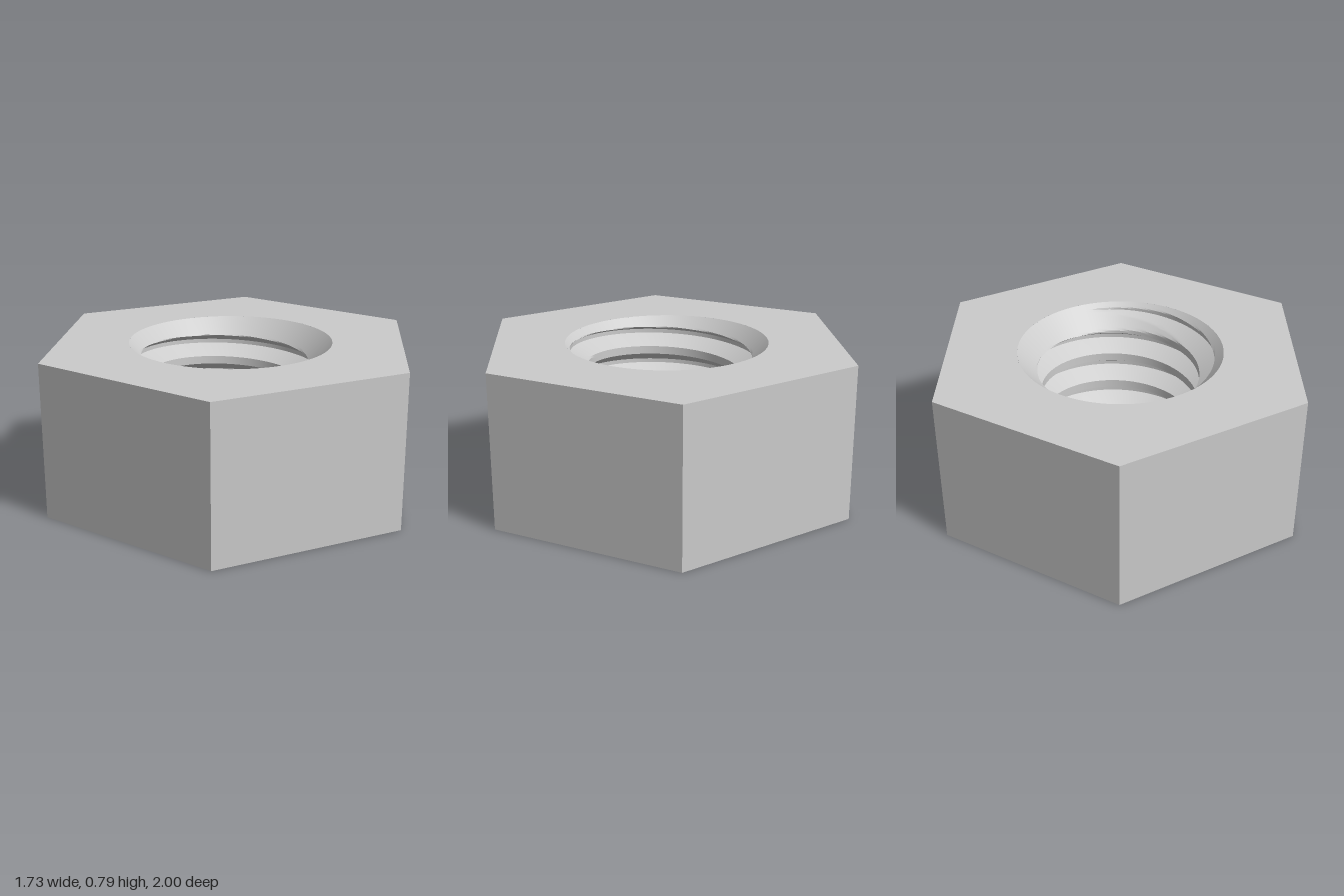
import * as THREE from 'three';
import { toCreasedNormals } from 'three/addons/utils/BufferGeometryUtils.js';

const HEIGHT = 0.79;
const CREST = 0.4, ROOT = 0.49, MOUTH = 0.515; // bore radii
const PITCH = 0.17;
const SEGMENTS = 96;
const PHASE = 0.715 - PITCH / 4; // height of a crest's lower edge at angle 0

// One pitch of thread profile: [fraction of pitch, radius, subdivisions to the next point]
const PROFILE = [[0, CREST, 6], [0.25, CREST, 10], [0.5625, ROOT, 4], [0.6875, ROOT, 10], [1, CREST, 0]];

// Helical rows clamped to the nut's height; 45 degree countersinks cut both ends
function threadedBore() {
  const steps = [];
  for (let p = 0; p < PROFILE.length - 1; p++) {
    const [u0, r0, n] = PROFILE[p], [u1, r1] = PROFILE[p + 1];
    for (let s = 0; s < n; s++) {
      steps.push([u0 + (u1 - u0) * s / n, r0 + (r1 - r0) * s / n]);
    }
  }
  const rows = [];
  for (let k = -6; k <= 1; k++) {
    for (const [u, r] of steps) rows.push([PHASE + PITCH * (k + u), r]);
  }

  const positions = [], index = [], width = SEGMENTS + 1;
  for (const [base, thread] of rows) {
    for (let i = 0; i <= SEGMENTS; i++) {
      const t = i / SEGMENTS, angle = t * Math.PI * 2;
      const y = THREE.MathUtils.clamp(base + PITCH * t, 0, HEIGHT);
      const r = Math.max(thread, MOUTH - y, MOUTH - (HEIGHT - y));
      positions.push(r * Math.cos(angle), y, -r * Math.sin(angle));
    }
  }
  const yOf = (v) => positions[v * 3 + 1];
  for (let j = 0; j < rows.length - 1; j++) {
    for (let i = 0; i < SEGMENTS; i++) {
      const a = j * width + i, b = a + 1, c = a + width, d = c + 1;
      if (yOf(a) !== yOf(c)) index.push(a, c, d);
      if (yOf(b) !== yOf(d)) index.push(a, d, b);
    }
  }
  const geometry = new THREE.BufferGeometry();
  geometry.setAttribute('position', new THREE.Float32BufferAttribute(positions, 3));
  geometry.setIndex(index);
  return toCreasedNormals(geometry, Math.PI / 7);
}

// Hexagon with a round hole, lying flat and facing up
function hexFace() {
  const corners = [];
  for (let i = 0; i < 6; i++) {
    const a = Math.PI / 2 + i * Math.PI / 3;
    corners.push(new THREE.Vector2(Math.cos(a), Math.sin(a)));
  }
  const shape = new THREE.Shape(corners);
  shape.holes.push(new THREE.Path().absarc(0, 0, MOUTH, 0, Math.PI * 2, true));
  return new THREE.ShapeGeometry(shape, SEGMENTS).rotateX(-Math.PI / 2);
}

export function createModel() {
  const group = new THREE.Group();
  group.name = 'hexNut';
  const smooth = new THREE.MeshStandardMaterial({ color: 0xcccccc });
  const flat = new THREE.MeshStandardMaterial({ color: 0xcccccc, flatShading: true });
  const add = (name, geometry, material) => {
    const mesh = new THREE.Mesh(geometry, material);
    mesh.name = name;
    group.add(mesh);
  };

  // Six outer flats, with corners pointing to the front and back
  add('outerFlats', new THREE.CylinderGeometry(1, 1, HEIGHT, 6, 1, true).translate(0, HEIGHT / 2, 0), flat);
  add('topFace', hexFace().translate(0, HEIGHT, 0), flat);
  add('bottomFace', hexFace().rotateX(Math.PI), flat);
  add('threadedBore', threadedBore(), smooth);
  return group;
}
